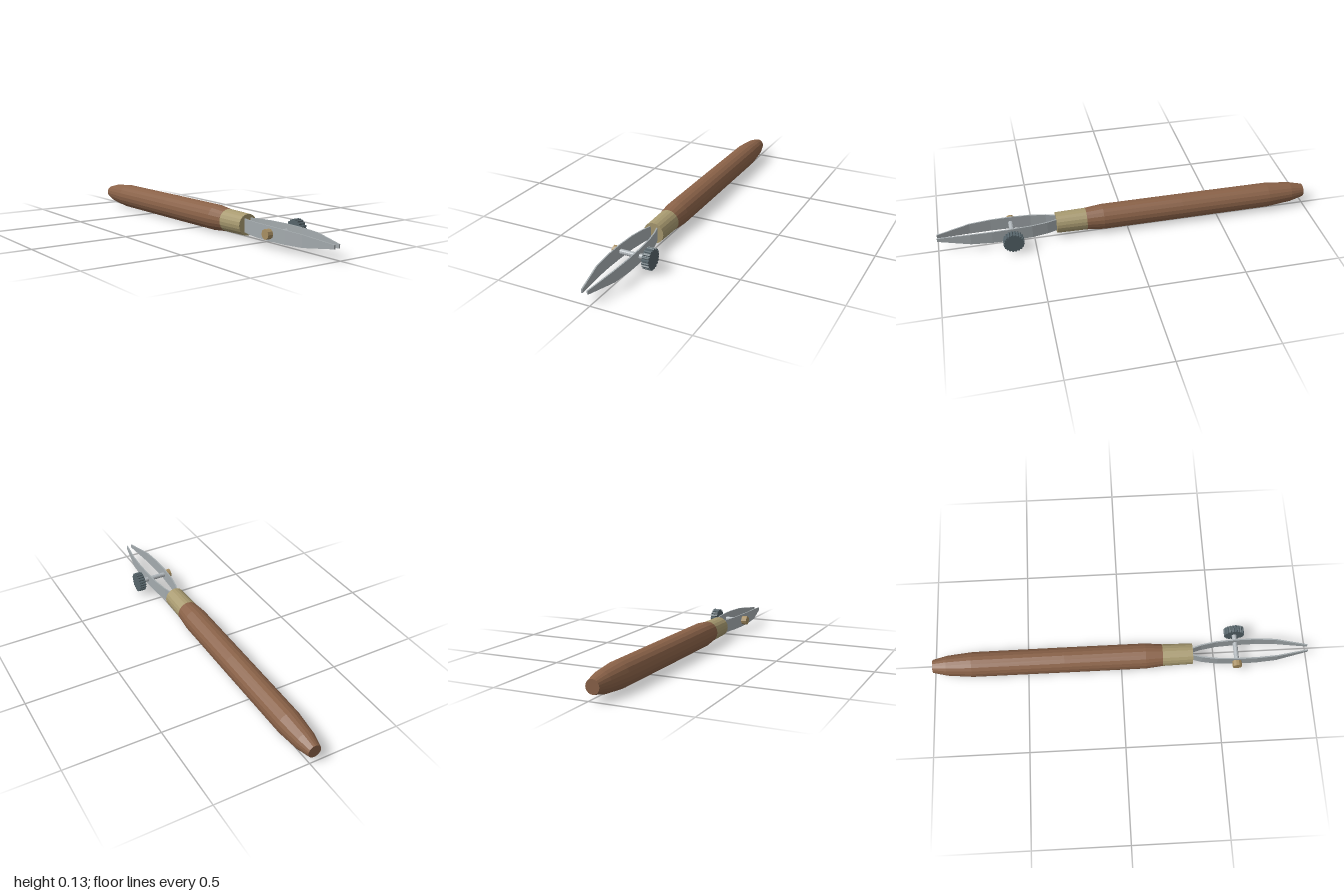
import * as THREE from 'three';

const CX = -0.022, CY = 0.068, SCREW_Z = 0.615;
const mat = (color) => new THREE.MeshStandardMaterial({ color, flatShading: true });

function add(parent, name, geometry, material) {
  const mesh = new THREE.Mesh(geometry, material);
  mesh.name = name;
  parent.add(mesh);
  return mesh;
}

// Solid of revolution along z from [radius, z] pairs
function turned(points, sides) {
  const pts = points.map(([r, z]) => new THREE.Vector2(r, z));
  return new THREE.LatheGeometry(pts, sides).rotateX(Math.PI / 2);
}

// Cylinder lying along x between two positions
function crossBar(radius, x0, x1, sides) {
  return new THREE.CylinderGeometry(radius, radius, x1 - x0, sides)
    .rotateZ(Math.PI / 2)
    .translate((x0 + x1) / 2, 0, SCREW_Z);
}

// Bowed blade: a segmented box reshaped by [z, sideways offset, half height]
function bladeGeometry(side) {
  const sections = [
    [0.34, 0.0145, 0.033], [0.38, 0.019, 0.034], [0.43, 0.034, 0.035],
    [0.51, 0.047, 0.036], [0.62, 0.053, 0.036], [0.72, 0.053, 0.034],
    [0.83, 0.046, 0.030], [1.0, 0.0145, 0.0095],
  ];
  const n = sections.length - 1;
  const geo = new THREE.BoxGeometry(0.007, 2, 1, 1, 1, n);
  const p = geo.attributes.position;
  for (let i = 0; i < p.count; i++) {
    const [z, offset, half] = sections[Math.round((p.getZ(i) + 0.5) * n)];
    p.setXYZ(i, p.getX(i) + side * offset, p.getY(i) * half, z);
  }
  geo.computeVertexNormals();
  return geo;
}

// Thumb wheel with a toothed rim
function knobGeometry() {
  const shape = new THREE.Shape();
  const teeth = 20;
  for (let i = 0; i < teeth; i++) {
    [[0, 0.048], [0.2, 0.054], [0.6, 0.054], [0.8, 0.048]].forEach(([f, r], k) => {
      const a = ((i + f) / teeth) * Math.PI * 2;
      shape[i + k ? 'lineTo' : 'moveTo'](r * Math.cos(a), r * Math.sin(a));
    });
  }
  shape.closePath();
  return new THREE.ExtrudeGeometry(shape, { depth: 0.038, bevelEnabled: false })
    .rotateY(Math.PI / 2)
    .translate(0.092, 0, SCREW_Z);
}

export function createModel() {
  const model = new THREE.Group();
  model.name = 'rulingPen';
  const pen = new THREE.Group();
  pen.name = 'pen';
  pen.position.set(CX, CY, 0);
  model.add(pen);

  const wood = mat(0x8a6248), brass = mat(0xa89a70), steel = mat(0xa4abae);

  // Tapered wooden handle
  add(pen, 'handle', turned([
    [0, -1], [0.035, -1], [0.053, -0.925], [0.066, -0.79],
    [0.067, -0.3], [0.067, 0.13], [0.058, 0.22], [0, 0.22],
  ], 20), wood);

  // Metal collar holding the blades
  add(pen, 'ferrule', turned([
    [0, 0.215], [0.058, 0.215], [0.055, 0.38], [0, 0.38],
  ], 20), brass);

  // Pair of bowed blades
  add(pen, 'leftBlade', bladeGeometry(1), steel);
  add(pen, 'rightBlade', bladeGeometry(-1), steel);

  // Adjusting screw, its end nut and thumb wheel
  add(pen, 'screw', crossBar(0.013, -0.07, 0.095, 12), mat(0xb0b6ba));
  add(pen, 'nut', crossBar(0.025, -0.086, -0.055, 10), mat(0xa88f62));
  add(pen, 'knob', knobGeometry(), mat(0x56646a));

  return model;
}
